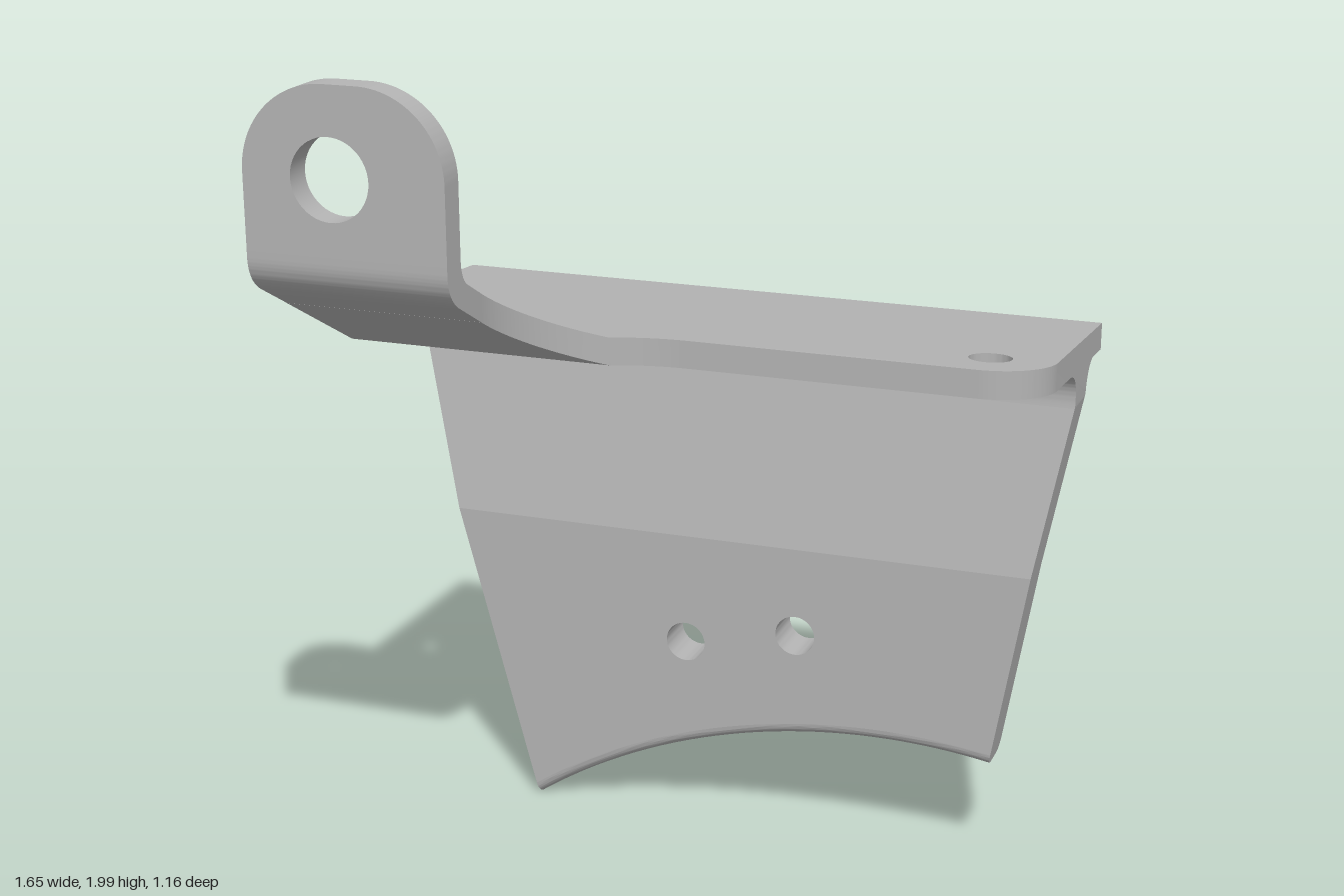
import * as THREE from 'three';
import { toCreasedNormals } from 'three/addons/utils/BufferGeometryUtils.js';

const T = 0.066;                       // vertical thickness of the bent sheet
const lerp = THREE.MathUtils.lerp;

// Web outline: slanted sides that turn vertical near the top, arched bottom
const xLeft = y => (y >= 1.18 ? -0.828 : -0.515 - 0.267 * (y - 0.005));
const xRight = y => (y >= 1.18 ? 0.825 : 0.67 + 0.171 * (y - 0.277));
const arch = x => 0.3 - 1.588 + Math.sqrt(1.588 ** 2 - (x - 0.4) ** 2);
const archPoint = (u, d) => {
  const x = lerp(-0.515, 0.67, u);
  return [x + d * lerp(-0.267, 0.171, u), arch(x) + d];
};

export function createModel() {
  const group = new THREE.Group();
  const steel = new THREE.MeshStandardMaterial({ color: 0xb4b4b4 });
  steel.name = 'grey steel';

  // Extrude a shape, then move each vertex by a rule
  function part(name, shape, depth, rule, steps = 1) {
    const geo = new THREE.ExtrudeGeometry(shape, { depth, steps, bevelEnabled: false, curveSegments: 24 });
    const p = geo.attributes.position;
    for (let i = 0; i < p.count; i++) p.setXYZ(i, ...rule(p.getX(i), p.getY(i), p.getZ(i)));
    geo.computeVertexNormals();
    const mesh = new THREE.Mesh(toCreasedNormals(geo, 0.6), steel);
    mesh.name = name;
    group.add(mesh);
  }
  const hole = (shape, x, y, r) => shape.holes.push(new THREE.Path().absarc(x, y, r, 0, Math.PI * 2, true));

  // Plan shapes use (x, -z); side shapes use (-z, y)
  const split = Math.PI - Math.asin(0.305 / 0.35);

  // Top plate, tilted slightly, with a rounded front corner and two holes
  const plate = new THREE.Shape();
  plate.moveTo(-0.828, 0.58);
  plate.lineTo(-0.828, -0.11);
  plate.lineTo(0.35 * Math.cos(split), -0.11);
  plate.absarc(0, -0.415, 0.35, split, Math.PI / 2, true);
  plate.lineTo(0.675, -0.065);
  plate.absarc(0.675, 0.085, 0.15, -Math.PI / 2, 0, false);
  plate.lineTo(0.825, 0.58);
  hole(plate, -0.675, 0.07, 0.05);
  hole(plate, 0.675, 0.07, 0.05);
  part('topPlate', plate, T, (x, p, t) => [x, 1.358 - T - 0.075 * p + t, -p]);

  // Rising arm with the concave sweep into the plate
  const ramp = new THREE.Shape();
  ramp.moveTo(-0.828, -0.11);
  ramp.lineTo(-0.828, -0.415);
  ramp.lineTo(-0.35, -0.415);
  ramp.absarc(0, -0.415, 0.35, Math.PI, split, true);
  part('risingArm', ramp, T, (x, p, t) => [x, 1.3 + 0.54 * (-p - 0.11) + t, -p]);

  // Bend from the arm up into the lug
  const bend = new THREE.Shape();
  bend.moveTo(-0.415, 1.465);
  bend.lineTo(-0.525, 1.524);
  bend.quadraticCurveTo(-0.58, 1.554, -0.58, 1.61);
  bend.lineTo(-0.58, 1.63);
  bend.lineTo(-0.512, 1.63);
  bend.quadraticCurveTo(-0.512, 1.584, -0.48, 1.566);
  bend.lineTo(-0.415, 1.531);
  part('armBend', bend, 0.478, (a, y, t) => [-0.828 + t, y, -a]);

  // Upright lug with rounded shoulders and a large hole
  const lug = new THREE.Shape();
  lug.moveTo(-0.828, 1.63);
  lug.lineTo(-0.35, 1.63);
  lug.lineTo(-0.35, 1.8);
  lug.absarc(-0.55, 1.8, 0.2, 0, Math.PI / 2, false);
  lug.absarc(-0.628, 1.8, 0.2, Math.PI / 2, Math.PI, false);
  hole(lug, -0.62, 1.795, 0.093);
  part('lug', lug, 0.068, (x, y, t) => [x, y, 0.512 + t]);

  // Lower web panel with two holes, above the rounded rim
  const web = new THREE.Shape();
  web.moveTo(xRight(0.775), 0.775);
  web.lineTo(xLeft(0.775), 0.775);
  for (let i = 0; i <= 32; i++) web.lineTo(...archPoint(i / 32, 0.03));
  hole(web, -0.11, 0.495, 0.05);
  hole(web, 0.175, 0.55, 0.05);
  part('lowerWeb', web, 0.115, (x, y, t) => [x, y, -0.34 + t]);

  // Rounded rim following the arch
  const rim = new THREE.Shape();
  rim.moveTo(0.34, 0.03);
  rim.lineTo(0.225, 0.03);
  rim.absarc(0.255, 0.03, 0.03, Math.PI, Math.PI * 1.5, false);
  rim.absarc(0.31, 0.03, 0.03, Math.PI * 1.5, Math.PI * 2, false);
  part('archRim', rim, 1, (a, d, t) => [...archPoint(t, d), -a], 32);

  // Upper web leaning back
  const across = (a, y, t) => [lerp(xLeft(y), xRight(y), t), y, -a];
  const lean = new THREE.Shape();
  lean.moveTo(0.225, 0.775);
  lean.lineTo(0.34, 0.775);
  lean.lineTo(0.418, 1.18);
  lean.lineTo(0.303, 1.18);
  part('upperWeb', lean, 1, across);

  // Filleted joint under the plate
  const joint = new THREE.Shape();
  joint.moveTo(0.303, 1.18);
  joint.lineTo(0.418, 1.18);
  joint.quadraticCurveTo(0.432, 1.252, 0.495, 1.256);
  joint.lineTo(0.495, 1.27);
  joint.lineTo(0.225, 1.285);
  joint.lineTo(0.225, 1.275);
  joint.quadraticCurveTo(0.317, 1.268, 0.303, 1.18);
  part('filletJoint', joint, 1, across);

  return group;
}
